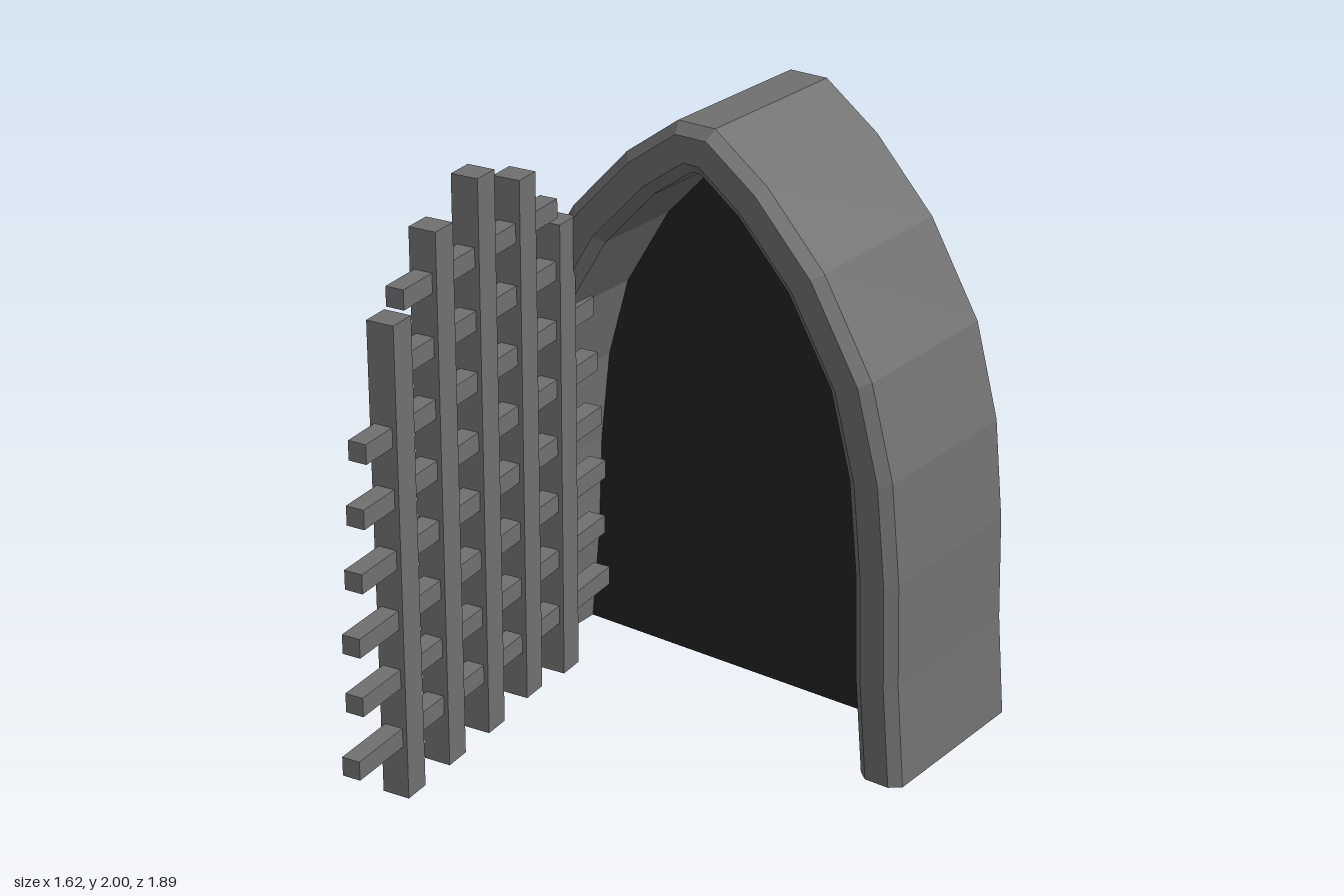
import * as THREE from 'three';

const grey = new THREE.MeshStandardMaterial({ color: 0x707070, side: THREE.DoubleSide });
grey.name = 'stone and iron grey';
const dark = new THREE.MeshStandardMaterial({ color: 0x242424, side: THREE.DoubleSide });
dark.name = 'dark opening';

// Outer arch outline, right foot to left foot
const half = [[0.812, 0], [0.782, 0.34], [0.77, 0.69], [0.735, 1.02], [0.65, 1.33], [0.47, 1.635], [0.26, 1.86], [0.068, 2]];
const outline = [...half, ...half.map(([x, y]) => [-x, y]).reverse()].map(([x, y]) => new THREE.Vector2(x, y));

// Outline moved inwards by d with mitred corners, feet kept on the ground
function inset(d) {
  const last = outline.length - 1;
  const normal = i => {
    const t = outline[i + 1].clone().sub(outline[i]).normalize();
    return new THREE.Vector2(-t.y, t.x);
  };
  return outline.map((p, i) => {
    if (i === 0 || i === last) return new THREE.Vector2(p.x - Math.sign(p.x) * d, 0);
    const a = normal(i - 1), b = normal(i);
    return p.clone().add(a.clone().add(b).multiplyScalar(d / (1 + a.dot(b))));
  });
}

// Chamfered cross-section swept along the outline, open at the feet
function archGeometry() {
  const section = [[0, -0.915], [0, -0.322], [0.035, -0.292], [0.12, -0.292],
    [0.155, -0.322], [0.155, -0.915], [0.12, -0.945], [0.035, -0.945]];
  const rings = section.map(([d, z]) => inset(d).map(p => [p.x, p.y, z]));
  const pos = [];
  rings.forEach((ring, j) => {
    const next = rings[(j + 1) % rings.length];
    for (let i = 0; i < ring.length - 1; i++) {
      pos.push(...ring[i], ...ring[i + 1], ...next[i + 1], ...ring[i], ...next[i + 1], ...next[i]);
    }
  });
  const g = new THREE.BufferGeometry();
  g.setAttribute('position', new THREE.Float32BufferAttribute(pos, 3));
  g.computeVertexNormals();
  return g;
}

function add(parent, name, geometry, material, x = 0, y = 0, z = 0) {
  const mesh = new THREE.Mesh(geometry, material);
  mesh.name = name;
  mesh.position.set(x, y, z);
  parent.add(mesh);
  return mesh;
}

export function createModel() {
  const model = new THREE.Group();
  model.name = 'archedGateway';

  add(model, 'arch', archGeometry(), grey);
  add(model, 'darkPanel', new THREE.ShapeGeometry(new THREE.Shape(inset(0.155))), dark, 0, 0, -0.65);

  // Lattice gate, swung open
  const gate = new THREE.Group();
  gate.name = 'gate';
  gate.position.set(-0.433, 0, 0.205);
  gate.rotation.y = 0.125;
  model.add(gate);

  // Upright bars: bottom and top heights, open underneath
  [[0.035, 1.61], [0.055, 1.83], [0.04, 1.91], [0.04, 1.82], [0.04, 1.61]].forEach(([y0, y1], i) => {
    const g = new THREE.BoxGeometry(0.093, y1 - y0, 0.093);
    const index = Array.from(g.index.array);
    index.splice(18, 6);
    g.setIndex(index);
    g.clearGroups();
    add(gate, 'uprightBar', g, grey, 0, (y0 + y1) / 2, (i - 2) * 0.231);
  });

  // Cross rails: height and half length
  [[0.25, 0.74], [0.453, 0.71], [0.653, 0.715], [0.855, 0.69], [1.055, 0.668], [1.255, 0.645],
    [1.455, 0.428], [1.658, 0.428]].forEach(([y, h]) => {
    add(gate, 'crossRail', new THREE.BoxGeometry(0.062, 0.064, h * 2), grey, 0, y, 0);
  });

  return model;
}
